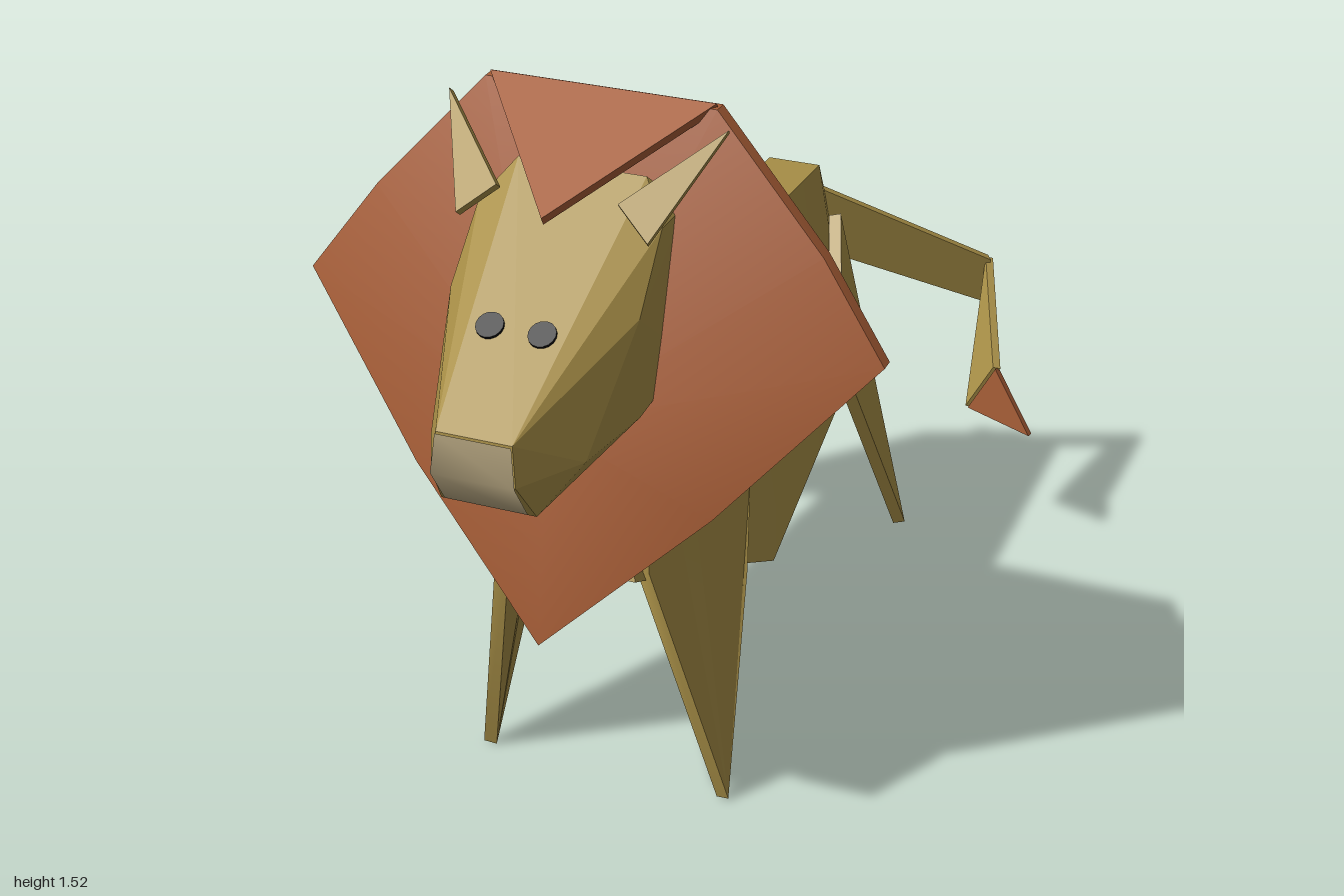
import * as THREE from 'three';
import { ConvexGeometry } from 'three/addons/geometries/ConvexGeometry.js';
import { toCreasedNormals } from 'three/addons/utils/BufferGeometryUtils.js';

const material = (name, color) => {
  const m = new THREE.MeshStandardMaterial({ color });
  m.name = name;
  return m;
};
const V = (p) => new THREE.Vector3(...p);
const mirror = (pts, s) => pts.map(([x, y, z]) => [x * s, y, z]);

// Geometry from a list of triangle corners: soft folds, sharp edges
function facets(corners, crease = 0.7) {
  const g = new THREE.BufferGeometry();
  g.setAttribute('position', new THREE.Float32BufferAttribute(corners.flat(), 3));
  return toCreasedNormals(g, crease);
}

// Folded sheet of paper: an outline fanned from its first corner, given a thickness
function paper(points, thickness) {
  const n = new THREE.Vector3();
  points.forEach((p, i) => n.add(V(p).cross(V(points[(i + 1) % points.length]))));
  n.setLength(thickness / 2);
  const a = points.map((p) => V(p).add(n).toArray());
  const b = points.map((p) => V(p).sub(n).toArray());
  const t = [];
  for (let i = 1; i < points.length - 1; i++) {
    t.push(a[0], a[i], a[i + 1], b[0], b[i + 1], b[i]);
  }
  points.forEach((_, i) => {
    const j = (i + 1) % points.length;
    t.push(a[i], b[i], b[j], a[i], b[j], a[j]);
  });
  return facets(t);
}

// Skin between rings that run from front to back, fanned shut at both ends
// towards the given end points
function loft(rings, front, back) {
  const t = [];
  const n = rings[0].length;
  const last = rings[rings.length - 1];
  for (let i = 0; i < n; i++) {
    const j = (i + 1) % n;
    for (let s = 0; s < rings.length - 1; s++) {
      const r = rings[s], q = rings[s + 1];
      t.push(r[i], q[i], q[j], r[i], q[j], r[j]);
    }
    t.push(front, rings[0][i], rings[0][j], back, last[j], last[i]);
  }
  return facets(t);
}

export function createModel() {
  const gold = material('gold paper', 0xa88f47);
  const rust = material('rust paper', 0xa65d36);
  const pale = material('pale nose', 0xb0a07c);
  const black = material('black', 0x0c0c0c);

  const group = new THREE.Group();
  group.name = 'paperLion';
  const add = (name, geometry, mat) => {
    const mesh = new THREE.Mesh(geometry, mat);
    mesh.name = name;
    group.add(mesh);
    return mesh;
  };

  // Body: a tent of paper, open below, closed at the chest and the rump
  // [spine z, spine y, spine x, side z, side y, side x, inside y, inside x]
  const sections = [
    [0.43, 1.03, 0.05, 0.62, 0.6, 0.15, 0.61, 0.09],
    [0.3, 1.01, 0.06, 0.25, 0.44, 0.19, 0.85, 0.06],
    [0.06, 0.98, 0.06, 0.03, 0.335, 0.22, 0.9, 0.06],
    [-0.5, 0.955, 0.06, -0.53, 0.43, 0.17, 0.85, 0.06],
    [-0.67, 0.95, 0.06, -0.7, 0.55, 0.12, 0.475, 0.09],
    [-0.79, 0.74, 0.055, -0.8, 0.62, 0.06, 0.61, 0.04],
  ];
  add('body', loft(sections.map(([zt, yt, a, zl, yl, w, yi, b]) => {
    const zi = THREE.MathUtils.mapLinear(yi, yl, yt, zl, zt);
    return [
      [a, yt, zt], [-a, yt, zt], [-w, yl, zl], [0.02 - w, yl, zl],
      [-b, yi, zi], [b, yi, zi], [w - 0.02, yl, zl], [w, yl, zl],
    ];
  }), [0, 0.8, 0.53], [0, 0.68, -0.795]), gold);

  // Legs and ears, folded flaps mirrored left and right
  const frontLeg = [[0.265, 0.005, 0.44], [0.23, 0.44, 0.25], [0.205, 0.64, 0.17],
    [0.125, 0.92, 0.36], [0.1, 0.95, 0.44], [0.15, 0.6, 0.58]];
  const backLeg = [[0.265, 0.03, -0.725], [0.09, 0.58, -0.825],
    [0.09, 0.82, -0.7], [0.185, 0.58, -0.455]];
  const ear = [[0.12, 1.385, 0.61], [0.19, 1.33, 0.64], [0.28, 1.5, 0.47]];
  for (const [side, s] of [['left', 1], ['right', -1]]) {
    add(side + 'FrontLeg', paper(mirror(frontLeg, s), 0.028), gold);
    add(side + 'BackLeg', paper(mirror(backLeg, s), 0.028), gold);
    add(side + 'Ear', paper(mirror(ear, s), 0.016), gold);
  }

  // Mane: wide kite with a thin rim, peaked at the front and at the back
  const half = [[0, 0.495, 0.715], [0.31, 0.775, 0.595], [0.595, 1.085, 0.455],
    [0.46, 1.27, 0.42], [0.235, 1.515, 0.385]];
  const rim = [...half, ...mirror(half.slice(1), -1).reverse()];
  const frontRim = rim.map(([x, y, z]) => [x, y, z + 0.03]);
  add('mane', loft([frontRim, rim], [0, 0.95, 0.69], [0, 1, 0.38]), rust);
  add('forelock', paper([[0, 1.362, 0.68], [0.23, 1.515, 0.4], [-0.23, 1.515, 0.4]], 0.018), rust);

  // Head: faceted wedge tapering to the muzzle
  const headHalf = [[0.13, 1.4, 0.5], [0.185, 1.33, 0.56], [0.185, 1.33, 0.45], [0.19, 1.02, 0.45],
    [0.19, 1.0, 0.68], [0.19, 1.2, 0.68], [0.155, 0.985, 0.85], [0.095, 0.905, 0.935],
    [0.075, 1.07, 0.985], [0.083, 0.99, 0.993]];
  add('head', new ConvexGeometry([...headHalf, ...mirror(headHalf, -1)].map(V)), gold);

  // Nose: pale face folded over the tip of the muzzle
  const [nt, nm, nb] = [[0.075, 1.068, 0.99], [0.083, 0.99, 0.998], [0.083, 0.912, 0.946]];
  const [mt, mm, mb] = mirror([nt, nm, nb], -1);
  add('nose', facets([mt, mm, nm, mt, nm, nt, mm, mb, nb, mm, nb, nm], 1.2), pale);

  // Eyes: thin discs lying on the sloping forehead
  const slope = new THREE.Vector3(0, 0.83, 0.56).normalize();
  for (const s of [1, -1]) {
    const eye = add(s > 0 ? 'leftEye' : 'rightEye',
      new THREE.CylinderGeometry(0.027, 0.027, 0.009, 16), black);
    eye.position.set(0.052 * s, 1.198, 0.8);
    eye.quaternion.setFromUnitVectors(new THREE.Vector3(0, 1, 0), slope);
  }

  // Tail: upright strip, folded back on itself, with a rust tip
  const bendTop = [0.385, 0.645, -0.975], bendLow = [0.38, 0.525, -0.99];
  const tipTop = [0.47, 0.46, -0.78], tipLow = [0.41, 0.35, -0.775];
  add('tailBase', paper([[0.03, 0.89, -0.7], [0.03, 0.72, -0.73], bendLow, bendTop], 0.022), gold);
  add('tailEnd', paper([bendTop, bendLow, tipLow, tipTop], 0.018), gold);
  add('tailTip', paper([tipTop, tipLow, [0.565, 0.315, -0.755]], 0.018), rust);

  return group;
}
